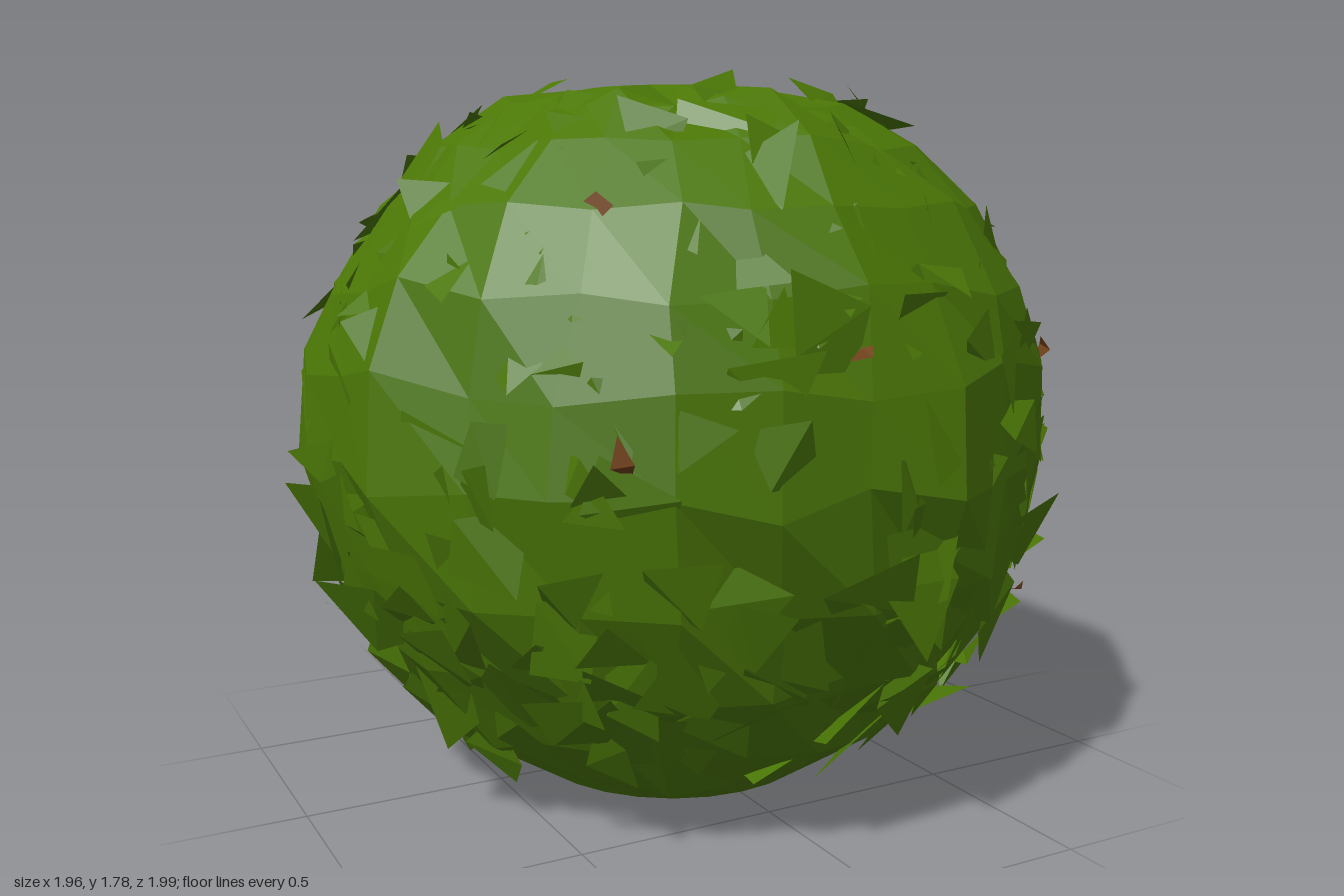
import * as THREE from 'three';

let seed = 7;
const rand = () => {
  seed = (seed * 1664525 + 1013904223) % 4294967296;
  return seed / 4294967296;
};
const spread = (a) => (rand() * 2 - 1) * a;

const R = 0.93, CY = 0.87;

// Faceted rounded body with a crisp flat base, roughened by a position hash
// so that shared corners stay joined
function makeCore() {
  const profile = [
    [0, 0.003], [0.37, 0.003], [0.51, 0.1], [0.66, 0.22], [0.8, 0.4], [0.89, 0.6], [0.95, 0.85],
    [0.93, 1.08], [0.87, 1.28], [0.76, 1.46], [0.61, 1.6], [0.45, 1.7], [0.24, 1.745], [0, 1.76],
  ].map(([x, y]) => new THREE.Vector2(x, y));
  const geo = new THREE.LatheGeometry(profile, 26);
  const pos = geo.attributes.position;
  for (let i = 0; i < pos.count; i++) {
    const x = pos.getX(i), y = pos.getY(i), z = pos.getZ(i);
    if (y < 0.05 || y > 1.72) continue;
    const wobble = (k) => Math.sin(x * 17 * k + 1) * Math.sin(y * 19 * k + 2) + Math.sin(z * 16 * k + 3) * 0.5;
    const s = 1 + 0.022 * wobble(1);
    pos.setXYZ(i, x * s + 0.02 * wobble(1.7), y + 0.025 * wobble(2.3), z * s + 0.02 * wobble(2.9));
  }
  return geo;
}

// One ragged, folded four-corner leaf lying on the body with its tip lifted
function addLeaf(out, dir, size, lift, radius = R) {
  const side = new THREE.Vector3(spread(1), spread(1), spread(1)).cross(dir).normalize();
  const up = new THREE.Vector3().crossVectors(dir, side);
  const corner = (a, b, h) => {
    const p = dir.clone().multiplyScalar(radius)
      .addScaledVector(side, a * size).addScaledVector(up, b * size);
    p.setLength(Math.min(radius + h, 1));
    p.y = THREE.MathUtils.clamp(p.y + CY, 0.08, 1.8);
    return p;
  };
  const root = corner(spread(0.2), -0.6, -0.03);
  const left = corner(-0.5 + spread(0.2), spread(0.3), 0.01 + spread(0.025));
  const right = corner(0.5 + spread(0.2), spread(0.3), 0.01 + spread(0.025));
  const tip = corner(spread(0.3), 0.7 + spread(0.2), lift);
  for (const p of [root, right, left, left, right, tip]) out.push(p.x, p.y, p.z);
}

function toGeometry(points) {
  const geo = new THREE.BufferGeometry();
  geo.setAttribute('position', new THREE.Float32BufferAttribute(points, 3));
  geo.computeVertexNormals();
  return geo;
}

export function createModel() {
  seed = 7;
  const makeMaterial = (name, color) => {
    const mat = new THREE.MeshStandardMaterial({ color, flatShading: true, side: THREE.DoubleSide });
    mat.name = name;
    return mat;
  };
  const leafGreen = makeMaterial('leafGreen', 0x4b7706);
  const twigBrown = makeMaterial('twigBrown', 0x70421a);

  const bush = new THREE.Group();
  bush.name = 'roundBush';
  const add = (name, geo, mat) => {
    const mesh = new THREE.Mesh(geo, mat);
    mesh.name = name;
    bush.add(mesh);
    return mesh;
  };

  add('foliageCore', makeCore(), leafGreen);

  // Leaves on a golden spiral, leaving the crown and base bare
  const leaves = [];
  const count = 520;
  for (let i = 0; i < count; i++) {
    const y = 0.91 - 1.67 * (i + 0.5) / count;
    const a = i * 2.39996 + spread(0.15);
    const r = Math.sqrt(1 - y * y);
    const dir = new THREE.Vector3(Math.cos(a) * r, y + spread(0.03), Math.sin(a) * r).normalize();
    // Sparser where the body faces straight along an axis
    const facing = Math.max(Math.abs(dir.x), Math.abs(dir.y), Math.abs(dir.z));
    if (facing > 0.92 && rand() < 0.55) continue;
    // Most leaves lie close, some stick out
    const lift = rand() < 0.25 ? 0.05 + rand() * 0.04 : rand() * 0.04;
    addLeaf(leaves, dir, 0.13 + rand() * 0.11, lift);
  }
  // Leaf tips reaching furthest forward and back
  for (const z of [1, -1]) addLeaf(leaves, new THREE.Vector3(0.06, 0, z).normalize(), 0.12, 0.07);
  add('leaves', toGeometry(leaves), leafGreen);

  // A few bits of twig showing through: direction and size
  const twigs = [];
  const spots = [
    [-0.5, 0.58, 0.58, 0.07], [-0.52, 0.08, 0.77, 0.06], [0.64, 0.23, 0.64, 0.05],
    [0.41, 0.73, -0.42, 0.08], [0.17, 0.4, -0.85, 0.05], [0.62, -0.55, -0.47, 0.08],
    [-0.05, 0.28, 0.9, 0.03], [-0.38, 0.77, -0.38, 0.03], [0.58, -0.33, 0.65, 0.03],
  ];
  for (const [x, y, z, size] of spots) {
    addLeaf(twigs, new THREE.Vector3(x, y, z).normalize(), size, 0.01, 0.965);
  }
  add('twigs', toGeometry(twigs), twigBrown);

  // Two twig ends in the flat base
  for (const [x, z] of [[0.13, 0.13], [0.08, 0.11]]) {
    const end = add('twigEnd', new THREE.CircleGeometry(0.022, 4), twigBrown);
    end.rotation.x = Math.PI / 2;
    end.position.set(x, 0, z);
  }
  return bush;
}
